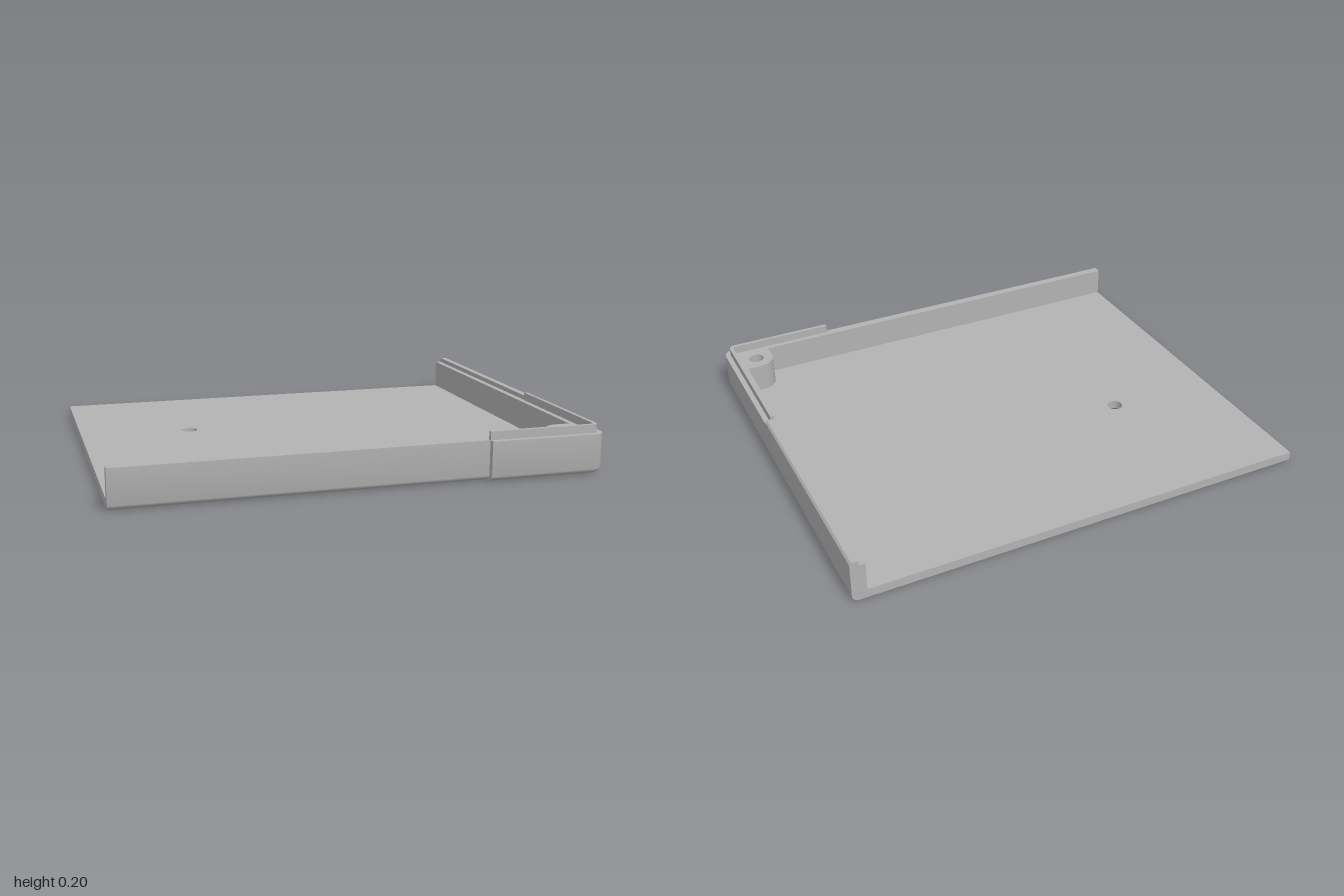
import * as THREE from 'three';
import { toCreasedNormals } from 'three/addons/utils/BufferGeometryUtils.js';

const TOP = 0.165;   // height of the wall ledges and the post
const FLOOR = 0.038; // floor thickness
const R = 0.028;     // rounding of the outer bottom edge

// Sweep a closed profile of [inset, height] points along a path of {x, z, nx, nz}.
function sweep(profile, path) {
  const pos = [];
  const at = (i, j) => {
    const p = path[i], [d, y] = profile[j % profile.length];
    return [p.x - p.nx * d, y, p.z - p.nz * d];
  };
  for (let i = 0; i < path.length - 1; i++) {
    for (let j = 0; j < profile.length; j++) {
      const a = at(i, j), b = at(i + 1, j), c = at(i + 1, j + 1), d = at(i, j + 1);
      pos.push(...a, ...c, ...b, ...a, ...d, ...c);
    }
  }
  const outline = profile.map(([d, y]) => new THREE.Vector2(d, y));
  const last = path.length - 1;
  for (const [a, b, c] of THREE.ShapeUtils.triangulateShape(outline, [])) {
    pos.push(...at(last, a), ...at(last, b), ...at(last, c));
    pos.push(...at(0, a), ...at(0, c), ...at(0, b));
  }
  const geo = new THREE.BufferGeometry();
  geo.setAttribute('position', new THREE.Float32BufferAttribute(pos, 3));
  return toCreasedNormals(geo, 0.6);
}

// Wall cross-section: rounded outer bottom edge, flat underside, then the given upper steps.
function wallProfile(inner, upper) {
  const points = [];
  for (let k = 0; k <= 6; k++) {
    const a = (k / 6) * Math.PI / 2;
    points.push([R - R * Math.cos(a), R - R * Math.sin(a)]);
  }
  return [...points, [inner, 0], ...upper];
}

// Extrude a plan drawn in (x, z) between two heights.
function slab(shape, bottom, top) {
  const geo = new THREE.ExtrudeGeometry(shape, { depth: top - bottom, bevelEnabled: false, curveSegments: 20 });
  geo.rotateX(Math.PI / 2).translate(0, top, 0);
  return toCreasedNormals(geo, 0.6);
}

function addHole(shape, x, z, r) {
  shape.holes.push(new THREE.Path().absarc(x, z, r, 0, Math.PI * 2, true));
}

export function createModel() {
  const group = new THREE.Group();
  const grey = new THREE.MeshStandardMaterial({ color: 0xb2b2b2 });
  grey.name = 'grey plastic';
  const add = (name, geo) => {
    const mesh = new THREE.Mesh(geo, grey);
    mesh.name = name;
    group.add(mesh);
  };

  const back = -0.843, front = 0.843, inner = 0.062;
  const hx = 0.877, hz = 0.718, boreR = 0.058, holeR = 0.033;

  // Floor with a small through hole and the screw bore
  const floor = new THREE.Shape([
    [-1, back], [1 - inner, back], [1 - inner, front - inner], [-1, front - inner],
  ].map(([x, z]) => new THREE.Vector2(x, z)));
  addHole(floor, -0.515, -0.195, holeR);
  addHole(floor, hx, hz, boreR);
  add('floor', slab(floor, 0, FLOOR));

  // Thin front wall, set back from the corner section
  const setBack = 0.025;
  add('frontWall', sweep(
    wallProfile(inner - setBack, [[inner - setBack, TOP], [0, TOP]]),
    [-1, 0.503].map((x) => ({ x, z: front - setBack, nx: 0, nz: 1 })),
  ));

  // Corner wall with a raised lip, running round the vertical edge
  const r = 0.05;
  const cornerPath = [{ x: 0.503, z: front, nx: 0, nz: 1 }];
  for (let k = 0; k <= 8; k++) {
    const a = (k / 8) * Math.PI / 2, nx = Math.sin(a), nz = Math.cos(a);
    cornerPath.push({ x: 1 - r + r * nx, z: front - r + r * nz, nx, nz });
  }
  cornerPath.push({ x: 1, z: 0.172, nx: 1, nz: 0 });
  add('cornerWall', sweep(
    wallProfile(inner, [[inner, TOP], [0.039, TOP], [0.039, 0.2], [0.023, 0.2], [0.023, TOP], [0, TOP]]),
    cornerPath,
  ));

  // Side wall with an outer rim and an inner ledge
  add('sideWall', sweep(
    wallProfile(inner, [[inner, TOP], [0.036, TOP], [0.036, 0.185], [0.008, 0.185], [0, 0.176]]),
    [0.172, back].map((z) => ({ x: 1, z, nx: 1, nz: 0 })),
  ));

  // Screw post in the corner: wide bore below, narrow hole above
  const post = (holeRadius) => {
    const s = new THREE.Shape();
    const x0 = 0.802, z0 = 0.643, x1 = 0.955, z1 = 0.795, c = 0.075;
    s.moveTo(x0 + c, z0);
    s.lineTo(x1, z0);
    s.lineTo(x1, z1);
    s.lineTo(x0, z1);
    s.lineTo(x0, z0 + c);
    s.absarc(x0 + c, z0 + c, c, Math.PI, Math.PI * 1.5, false);
    addHole(s, hx, hz, holeRadius);
    return s;
  };
  add('postBase', slab(post(boreR), FLOOR, 0.1));
  add('postTop', slab(post(holeR), 0.1, TOP));

  return group;
}
